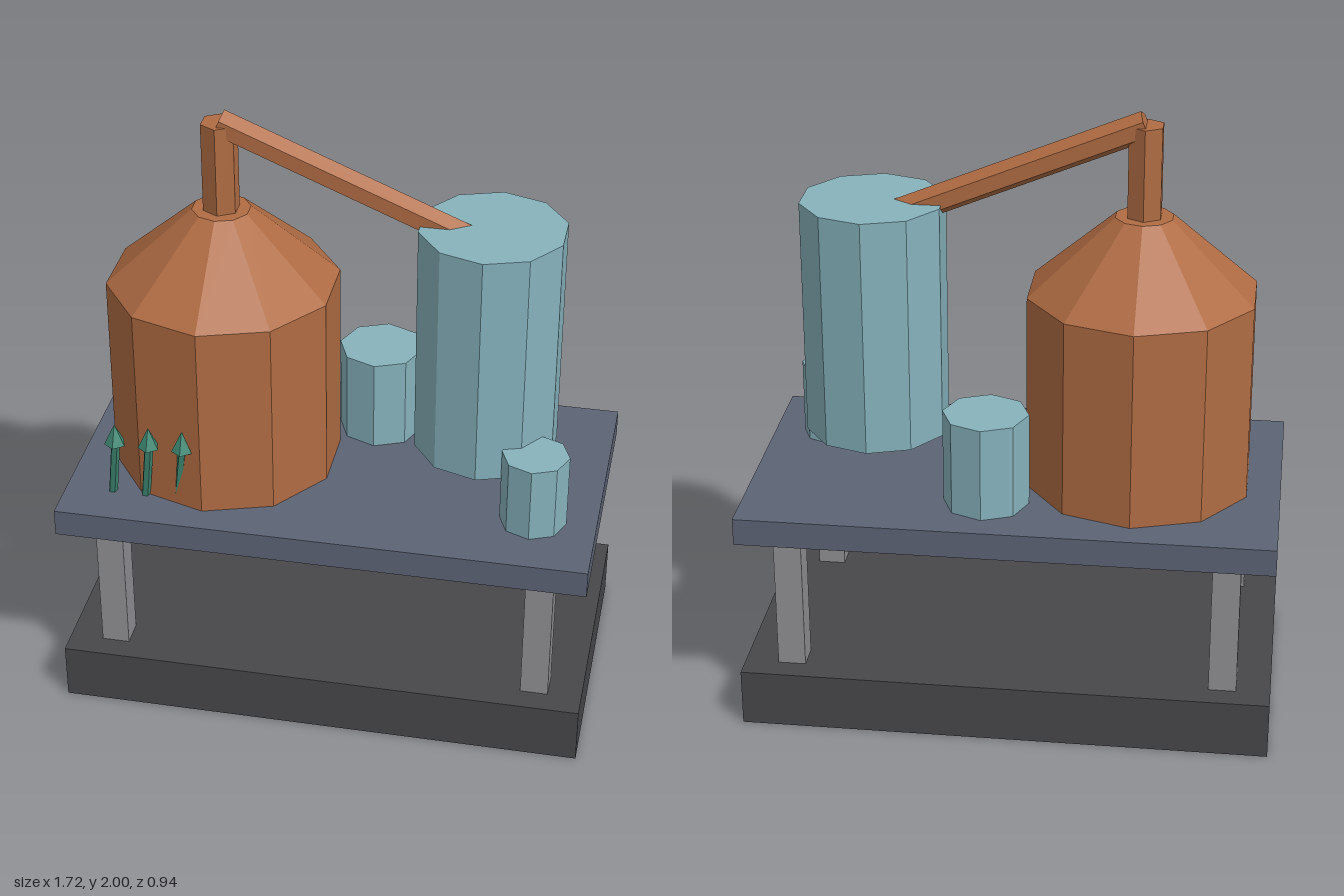
import * as THREE from 'three';

const mat = (name, color) => {
  const m = new THREE.MeshStandardMaterial({ color, flatShading: true });
  m.name = name;
  return m;
};

export function createModel() {
  const copper = mat('copper', 0xb06c43);
  const steelBlue = mat('pale blue', 0x86b2bc);
  const slate = mat('slate', 0x5c6374);
  const charcoal = mat('charcoal', 0x47464a);
  const grey = mat('leg grey', 0x8f8f94);
  const green = mat('green', 0x3f8a74);

  const model = new THREE.Group();
  model.name = 'still';

  const add = (name, geometry, material, x, y, z, parent = model) => {
    const mesh = new THREE.Mesh(geometry, material);
    mesh.name = name;
    mesh.position.set(x, y, z);
    parent.add(mesh);
    return mesh;
  };
  // Upright prism or frustum between two heights
  const drum = (name, material, x, z, y0, y1, r0, r1, sides, parent) =>
    add(name, new THREE.CylinderGeometry(r1, r0, y1 - y0, sides), material, x, (y0 + y1) / 2, z, parent);
  // Straight rod from a to b, with a ridge facing up
  const rod = (name, material, a, b, r, sides, parent) => {
    const from = new THREE.Vector3(...a), to = new THREE.Vector3(...b);
    const g = new THREE.CylinderGeometry(r, r, from.distanceTo(to), sides).rotateX(Math.PI / 2);
    const mid = from.clone().lerp(to, 0.5);
    const mesh = add(name, g, material, mid.x, mid.y, mid.z, parent);
    mesh.lookAt(to);
    return mesh;
  };

  // Plinth, legs and table
  add('plinth', new THREE.BoxGeometry(1.72, 0.19, 0.935), charcoal, 0, 0.095, 0);
  for (const sx of [-1, 1]) for (const sz of [-1, 1])
    add('leg', new THREE.BoxGeometry(0.09, 0.475, 0.09), grey, sx * 0.705, 0.427, sz * 0.345);
  add('tableTop', new THREE.BoxGeometry(1.72, 0.09, 0.935), slate, 0, 0.708, 0);

  // Copper pot with shoulder, neck and sloping arm
  const deck = 0.753, potX = -0.394;
  drum('potBody', copper, potX, 0, deck, 1.41, 0.375, 0.375, 10);
  drum('potShoulder', copper, potX, 0, 1.41, 1.66, 0.375, 0.094, 10);
  drum('neck', copper, potX, 0, 1.65, 1.957, 0.06, 0.06, 6);
  rod('lyneArm', copper, [potX, 1.956, 0], [0.467, 1.6, 0], 0.048, 6);

  // Condenser, its spout and the receiving barrels
  drum('condenser', steelBlue, 0.467, 0, 0.895, 1.68, 0.235, 0.235, 10);
  rod('spout', copper, [0.467, 0.92, 0], [0.655, 0.865, 0.22], 0.03, 6);
  drum('receiver', steelBlue, 0.655, 0.216, deck, 1.005, 0.108, 0.108, 8);
  drum('rearBarrel', steelBlue, 0.078, -0.24, deck, 1.065, 0.139, 0.139, 8);

  // Leaning green pointers
  for (let i = 0; i < 3; i++) {
    const pointer = new THREE.Group();
    pointer.name = 'pointer';
    model.add(pointer);
    const x = -0.675 + i * 0.11;
    rod('shaft', green, [x - 0.03, deck, 0.315 + (i === 2 ? 0.012 : 0)], [x, 0.975, 0.355], 0.015, 5, pointer);
    add('tip', new THREE.ConeGeometry(0.035, 0.072, 5), green, x, 1.003, 0.357, pointer);
  }
  return model;
}
